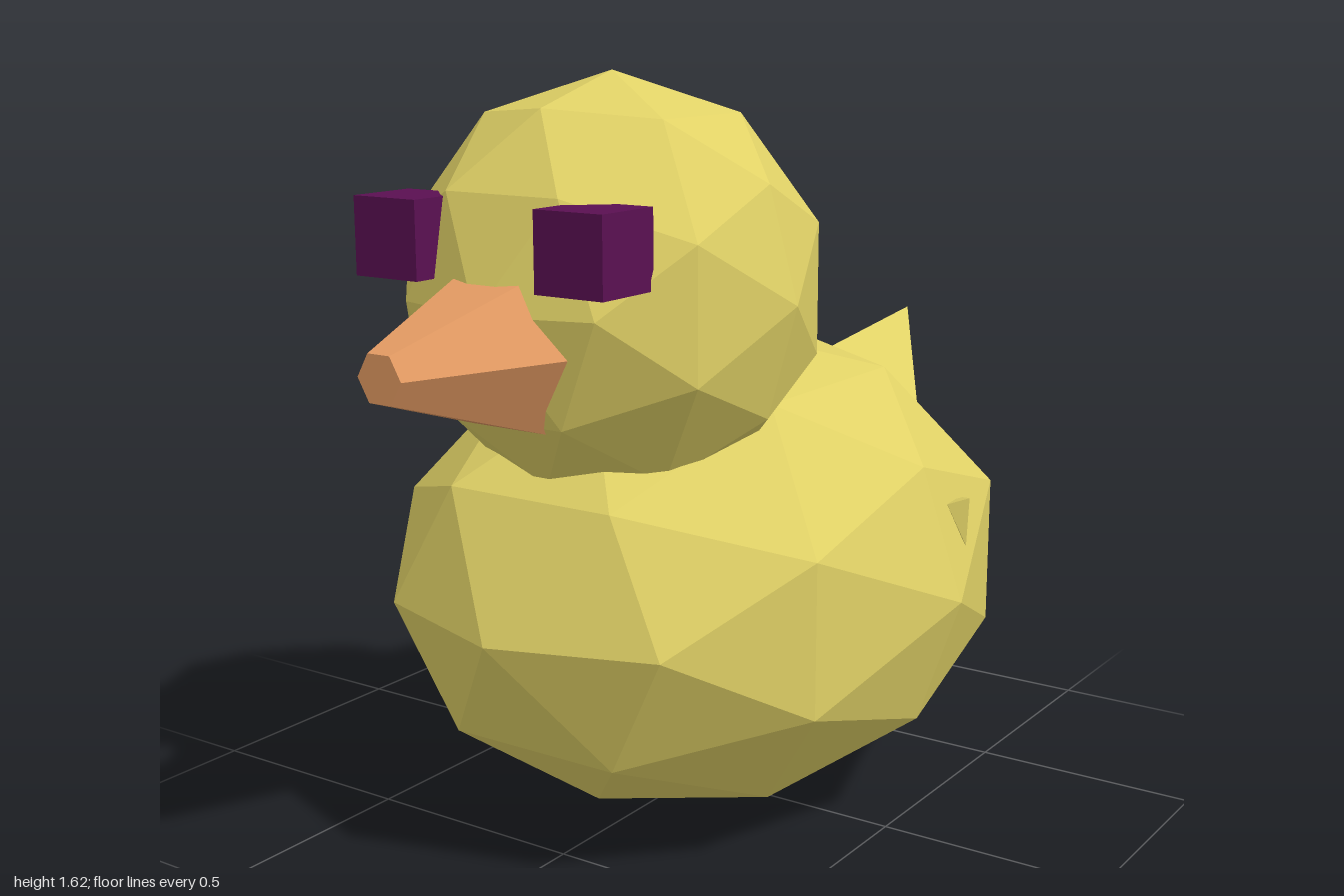
import * as THREE from 'three';

const flat = (name, color) => {
  const m = new THREE.MeshStandardMaterial({ color, flatShading: true });
  m.name = name;
  return m;
};

export function createModel() {
  const yellow = flat('yellow', 0xe0d166);
  const orange = flat('orange', 0xe39a62);
  const purple = flat('purple', 0x5a1052);
  const group = new THREE.Group();
  group.name = 'duck';

  const add = (name, geometry, material, x, y, z) => {
    const mesh = new THREE.Mesh(geometry, material);
    mesh.name = name;
    mesh.position.set(x, y, z);
    group.add(mesh);
    return mesh;
  };

  // Faceted ball stretched to the given radii
  const ball = (rx, ry, rz) =>
    new THREE.IcosahedronGeometry(1, 1).rotateY(Math.PI / 2).scale(rx, ry, rz);

  add('body', ball(0.647, 0.53, 0.777), yellow, 0, 0.532, -0.035);
  add('head', ball(0.44, 0.44, 0.44), yellow, 0, 1.185, 0.3);

  // Beak: six-sided taper with its blunt tip forward
  const beak = new THREE.CylinderGeometry(0.052, 0.204, 0.42, 6)
    .rotateY(Math.PI / 6).rotateX(Math.PI / 2);
  add('beak', beak, orange, 0, 1.108, 0.79);

  // Tail: square pyramid leaning back and up
  const tail = new THREE.ConeGeometry(0.265, 0.5, 4).rotateX(-0.97);
  add('tail', tail, yellow, 0, 0.829, -0.794);

  for (const side of [1, -1]) {
    const label = side > 0 ? 'left' : 'right';
    add(label + 'Eye', new THREE.BoxGeometry(0.156, 0.156, 0.156), purple,
      side * 0.221, 1.316, 0.66);

    // Wing tip: small pyramid pointing down and slightly out
    const wing = new THREE.ConeGeometry(0.036, 0.1, 4)
      .translate(0, 0.05, 0).rotateZ(Math.PI + side * 0.3);
    add(label + 'WingTip', wing, yellow, side * 0.571, 0.717, -0.145);
  }
  return group;
}
